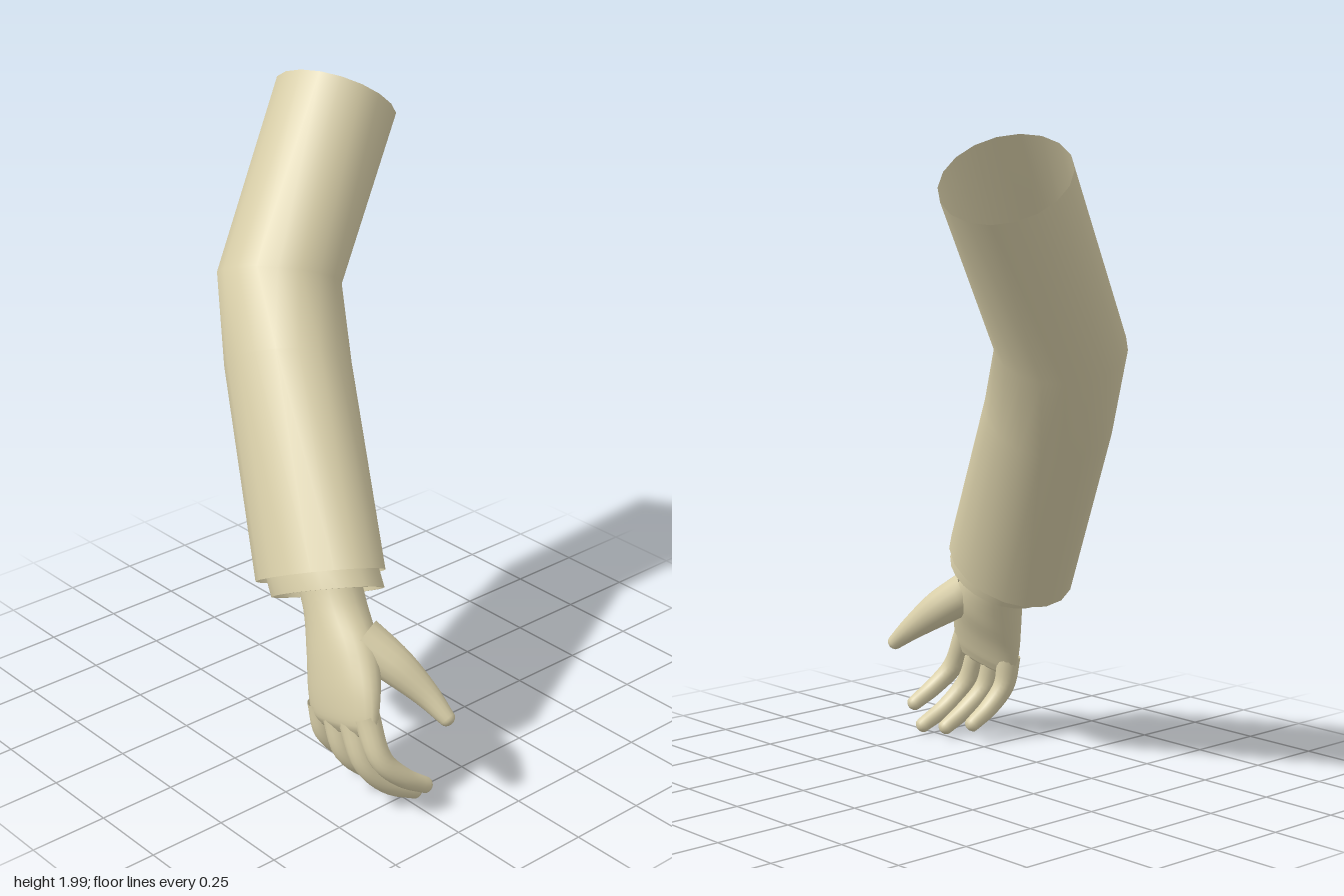
import * as THREE from 'three';

const V = (a) => new THREE.Vector3(...a);

// Skin through elliptical rings {c, u, v}: centre and two half-axes, u x v along the path
function loft(rings, sides, closeEnd = false) {
  const pos = [], idx = [];
  for (const { c, u, v } of rings) {
    for (let i = 0; i < sides; i++) {
      const a = (i / sides) * Math.PI * 2;
      const p = c.clone().addScaledVector(u, Math.cos(a)).addScaledVector(v, Math.sin(a));
      pos.push(p.x, p.y, p.z);
    }
  }
  for (let j = 0; j < rings.length - 1; j++) {
    for (let i = 0; i < sides; i++) {
      const a = j * sides + i, b = j * sides + ((i + 1) % sides);
      idx.push(a, b, a + sides, b, b + sides, a + sides);
    }
  }
  if (closeEnd) {
    const last = rings.length - 1, n = pos.length / 3;
    pos.push(...rings[last].c.toArray());
    for (let i = 0; i < sides; i++) idx.push(last * sides + i, last * sides + ((i + 1) % sides), n);
  }
  const g = new THREE.BufferGeometry();
  g.setAttribute('position', new THREE.Float32BufferAttribute(pos, 3));
  g.setIndex(idx);
  g.computeVertexNormals();
  return g;
}

const ring = (c, u, v) => ({ c: V(c), u: V(u), v: V(v) });

// Resample rings along smooth curves
function smoothRings(rings, count) {
  const curves = ['c', 'u', 'v'].map((k) => new THREE.CatmullRomCurve3(rings.map((r) => r[k])));
  return Array.from({ length: count + 1 }, (_, i) => {
    const [c, u, v] = curves.map((q) => q.getPoint(i / count));
    return { c, u, v };
  });
}

// Tapering finger with a rounded tip
function finger(points, radii) {
  const path = new THREE.CatmullRomCurve3(points.map(V));
  const size = new THREE.CatmullRomCurve3(radii.map((r) => new THREE.Vector3(r, 0, 0)));
  const rings = [];
  const add = (c, d, r) => {
    const u = new THREE.Vector3(0, 0, 1).cross(d).normalize();
    const v = d.clone().cross(u);
    rings.push({ c, u: u.multiplyScalar(r), v: v.multiplyScalar(r) });
  };
  for (let i = 0; i <= 14; i++) {
    const t = i / 14;
    add(path.getPoint(t), path.getTangent(t), size.getPoint(t).x);
  }
  const end = path.getPoint(1), dir = path.getTangent(1), r = radii[radii.length - 1];
  for (const a of [0.4, 0.8, 1.2, 1.45]) {
    add(end.clone().addScaledVector(dir, r * 0.8 * Math.sin(a)), dir, r * Math.cos(a));
  }
  return loft(rings, 14, true);
}

export function createModel() {
  const group = new THREE.Group();
  const cream = new THREE.MeshStandardMaterial({ color: 0xd9cfa9, side: THREE.DoubleSide });
  cream.name = 'cream';
  const add = (name, geometry, parent = group) => {
    const mesh = new THREE.Mesh(geometry, cream);
    mesh.name = name;
    parent.add(mesh);
  };

  // Open sleeve, bent at the elbow
  add('sleeve', loft([
    ring([0.302, 1.877, -0.445], [0.14, -0.118, 0], [0.03, 0.038, 0.205]),
    ring([-0.015, 1.383, -0.345], [0.163, -0.08, 0], [0.04, 0.055, 0.186]),
    ring([-0.1, 1.165, -0.205], [0.17, -0.065, 0.03], [0.01, 0.1, 0.186]),
    ring([-0.278, 0.635, 0.155], [0.165, -0.04, 0.03], [0, 0.108, 0.205]),
  ], 18));

  // Shirt cuff, as an outer and an inner wall joined at the lip
  const cuffU = [0.147, -0.036, 0.027], cuffV = [0, 0.09, 0.172];
  const inner = (a) => a.map((x) => x * 0.95);
  add('cuff', loft([
    ring([-0.268, 0.68, 0.135], cuffU, cuffV),
    ring([-0.287, 0.6, 0.2], cuffU, cuffV),
    ring([-0.287, 0.6, 0.2], inner(cuffU), inner(cuffV)),
    ring([-0.268, 0.68, 0.135], inner(cuffU), inner(cuffV)),
  ], 24));

  // Hand: wrist and palm
  const hand = new THREE.Group();
  hand.name = 'hand';
  group.add(hand);
  add('palm', loft(smoothRings([
    ring([-0.275, 0.72, 0.15], [0.085, -0.02, 0.02], [0, 0.05, 0.09]),
    ring([-0.288, 0.58, 0.232], [0.088, -0.02, 0.01], [0, 0.048, 0.094]),
    ring([-0.322, 0.46, 0.308], [0.084, -0.01, 0], [0.01, 0.058, 0.122]),
    ring([-0.358, 0.36, 0.358], [0.066, 0, 0], [0.005, 0.05, 0.142]),
    ring([-0.377, 0.285, 0.383], [0.049, 0, 0], [0, 0.036, 0.143]),
    ring([-0.378, 0.25, 0.39], [0.03, 0, 0], [0, 0.025, 0.125]),
  ], 24), 24, true), hand);

  // Four curled fingers
  const fingers = {
    indexFinger: [[-0.375, 0.33, 0.48], [-0.372, 0.21, 0.54], [-0.315, 0.14, 0.575], [-0.24, 0.09, 0.593]],
    middleFinger: [[-0.385, 0.3, 0.42], [-0.38, 0.17, 0.475], [-0.315, 0.085, 0.51], [-0.222, 0.03, 0.528]],
    ringFinger: [[-0.385, 0.29, 0.345], [-0.378, 0.17, 0.382], [-0.315, 0.095, 0.41], [-0.235, 0.04, 0.427]],
    littleFinger: [[-0.378, 0.29, 0.27], [-0.37, 0.19, 0.283], [-0.32, 0.12, 0.3], [-0.25, 0.07, 0.31]],
  };
  for (const [name, points] of Object.entries(fingers)) {
    add(name, finger(points, [0.04, 0.035, 0.031, 0.025]), hand);
  }

  // Thumb, thick at its root
  add('thumb', finger(
    [[-0.29, 0.51, 0.36], [-0.24, 0.44, 0.46], [-0.198, 0.365, 0.55], [-0.178, 0.307, 0.618]],
    [0.07, 0.06, 0.04, 0.025]), hand);

  return group;
}
